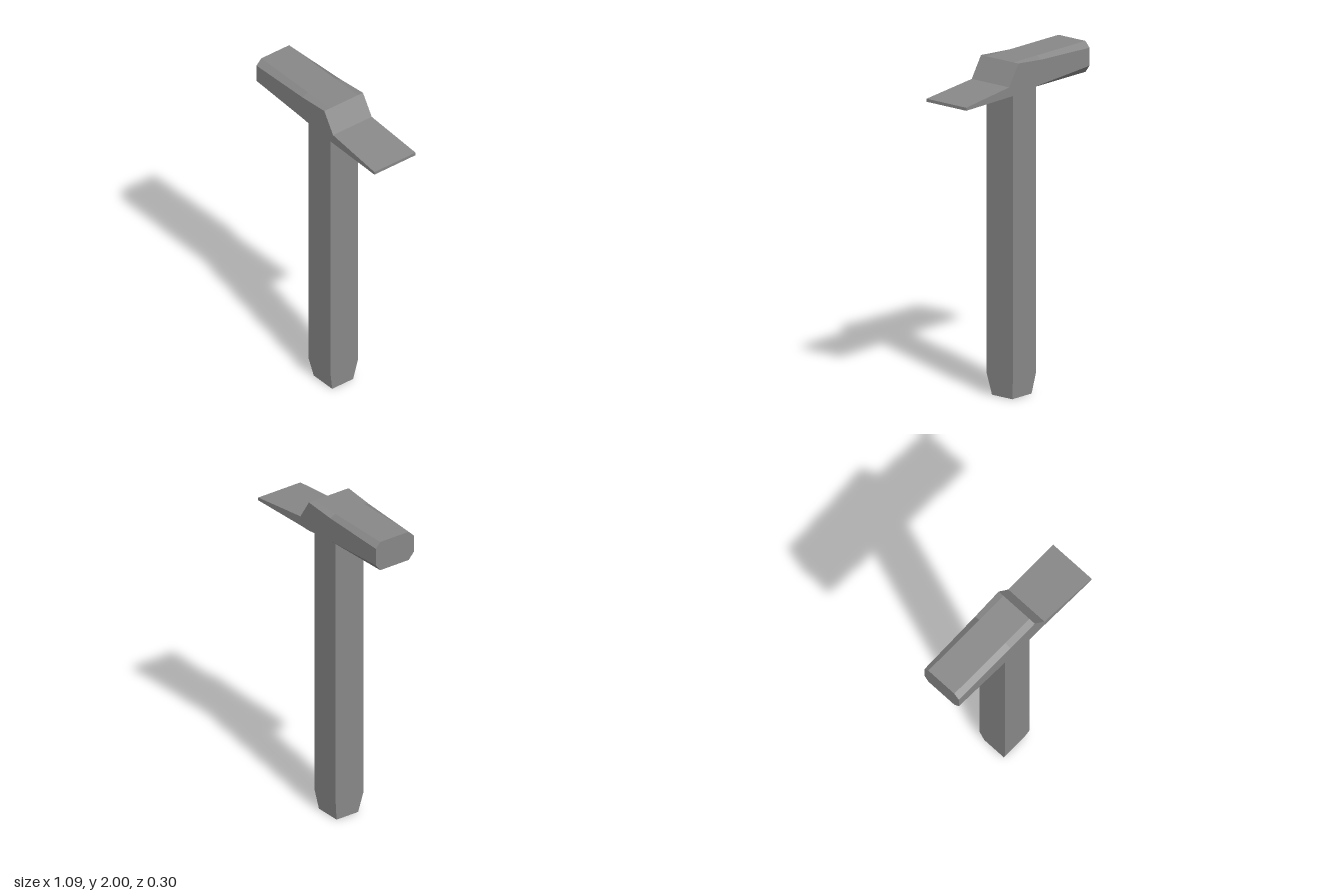
import * as THREE from 'three';

const material = new THREE.MeshStandardMaterial({ color: 0x888888 });

// Eight-sided head lofted along x from chamfered cross-sections, one normal per facet
function headGeometry() {
  const bottom = 1.817, inner = 0.102;
  // x, top, upper chamfer y, lower chamfer y, front z, back z
  const sections = [
    [-0.545, 2, 1.965, 1.858, 0.138, -0.133],
    [-0.12, 2, 1.982, 1.836, 0.142, -0.138],
    [0.08, 2, 2, bottom, 0.144, -0.14],
    [0.16, 1.875, 1.875, bottom, 0.144, -0.14],
    [0.545, 1.835, 1.835, bottom, 0.151, -0.151],
  ];
  const rings = sections.map(([x, top, upper, lower, front, back]) => [
    [top, -inner], [top, inner], [upper, front], [lower, front],
    [bottom, inner], [bottom, -inner], [lower, back], [upper, back],
  ].map(([y, z]) => new THREE.Vector3(x, y, z)));

  const positions = [], normals = [];
  const quad = (a, b, c, d) => {
    const n = c.clone().sub(a).cross(d.clone().sub(b)).normalize();
    for (const p of [a, b, c, a, c, d]) {
      positions.push(...p);
      normals.push(...n);
    }
  };
  for (let i = 0; i < rings.length - 1; i++) {
    const r = rings[i], s = rings[i + 1];
    for (let j = 0; j < 8; j++) {
      const k = (j + 1) % 8;
      quad(r[j], r[k], s[k], s[j]);
    }
  }
  // End faces
  const first = rings[0], last = rings[rings.length - 1];
  for (const [a, b, c, d] of [[0, 1, 2, 7], [7, 2, 3, 6], [6, 3, 4, 5]]) {
    quad(first[d], first[c], first[b], first[a]);
    quad(last[a], last[b], last[c], last[d]);
  }
  const geometry = new THREE.BufferGeometry();
  geometry.setAttribute('position', new THREE.Float32BufferAttribute(positions, 3));
  geometry.setAttribute('normal', new THREE.Float32BufferAttribute(normals, 3));
  return geometry;
}

// Square shaft with a tapered foot; each side keeps the flat shading of the shaft
function handleGeometry() {
  const geometry = new THREE.BoxGeometry(0.202, 2, 0.2, 1, 2, 1);
  const p = geometry.attributes.position;
  for (let i = 0; i < p.count; i++) {
    const level = Math.round(p.getY(i)) + 1;
    const [sx, sz, dz] = level === 0 ? [0.83, 0.77, -0.003] : [1, 1, 0];
    p.setXYZ(i, p.getX(i) * sx - 0.019, [0, 0.13, 1.825][level], p.getZ(i) * sz + dz);
  }
  return geometry;
}

export function createModel() {
  const group = new THREE.Group();
  group.name = 'hammer';
  const add = (name, geometry) => {
    const mesh = new THREE.Mesh(geometry, material);
    mesh.name = name;
    group.add(mesh);
  };
  add('head', headGeometry());
  add('handle', handleGeometry());
  return group;
}
